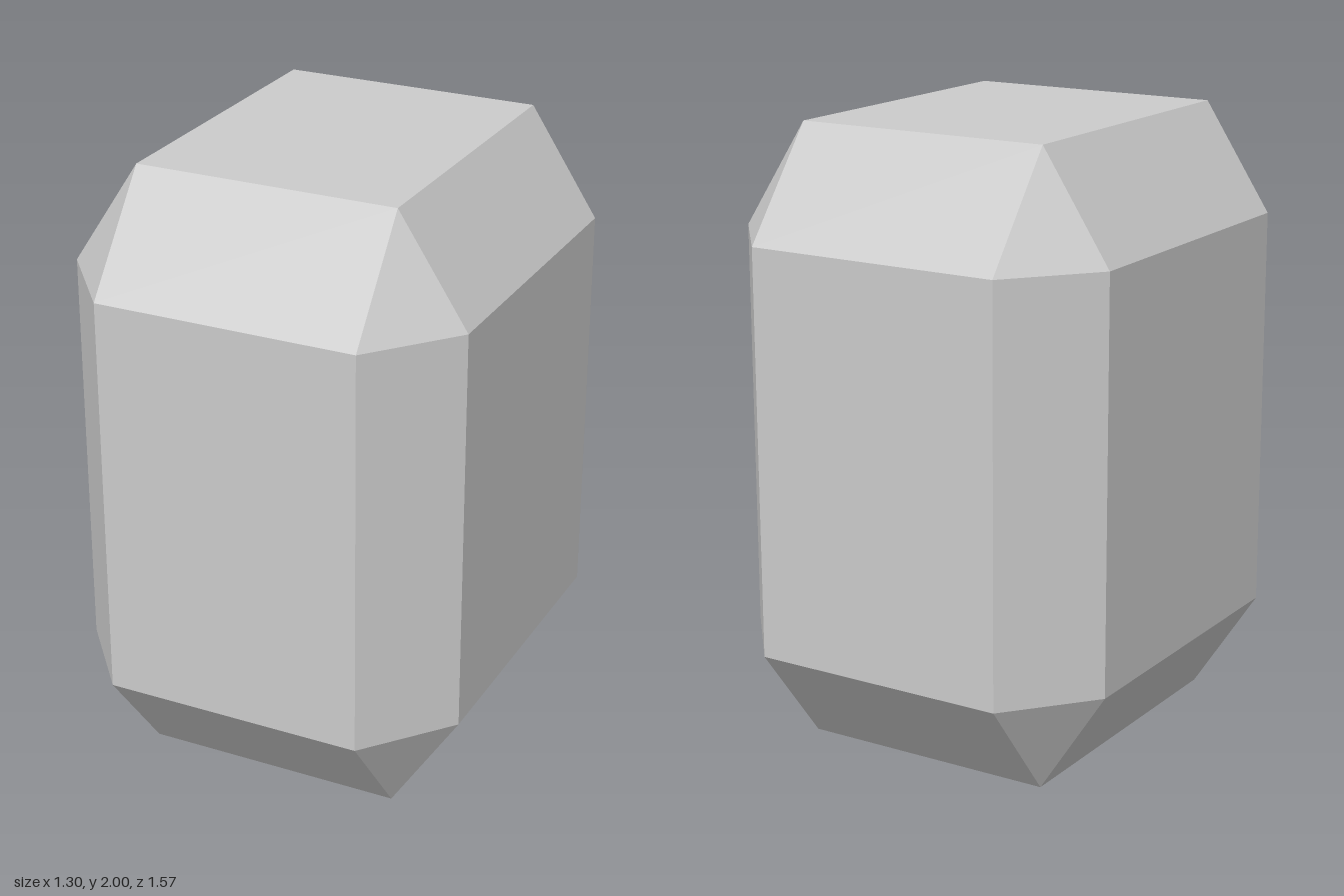
import * as THREE from 'three';
import { ConvexGeometry } from 'three/addons/geometries/ConvexGeometry.js';

export function createModel() {
  const group = new THREE.Group();
  group.name = 'chamferedBlock';

  // Half sizes of the block, and of its flat faces inside the chamfers
  const outer = { x: 0.65, y: 1, z: 0.783 };
  const inner = { x: 0.425, y: 0.656, z: 0.512 };

  // Each corner is cut into a triangle: one point per cap, front/back and side
  const points = [];
  for (const sx of [-1, 1]) for (const sy of [-1, 1]) for (const sz of [-1, 1]) {
    points.push(
      new THREE.Vector3(sx * inner.x, sy * outer.y, sz * inner.z), // top / bottom cap
      new THREE.Vector3(sx * inner.x, sy * inner.y, sz * outer.z), // front / back face
      new THREE.Vector3(sx * outer.x, sy * inner.y, sz * inner.z)  // side face
    );
  }

  const block = new THREE.Mesh(
    new ConvexGeometry(points),
    new THREE.MeshStandardMaterial({ color: 0xcccccc, flatShading: true })
  );
  block.name = 'block';
  block.position.y = outer.y; // stand on the ground
  group.add(block);
  return group;
}
